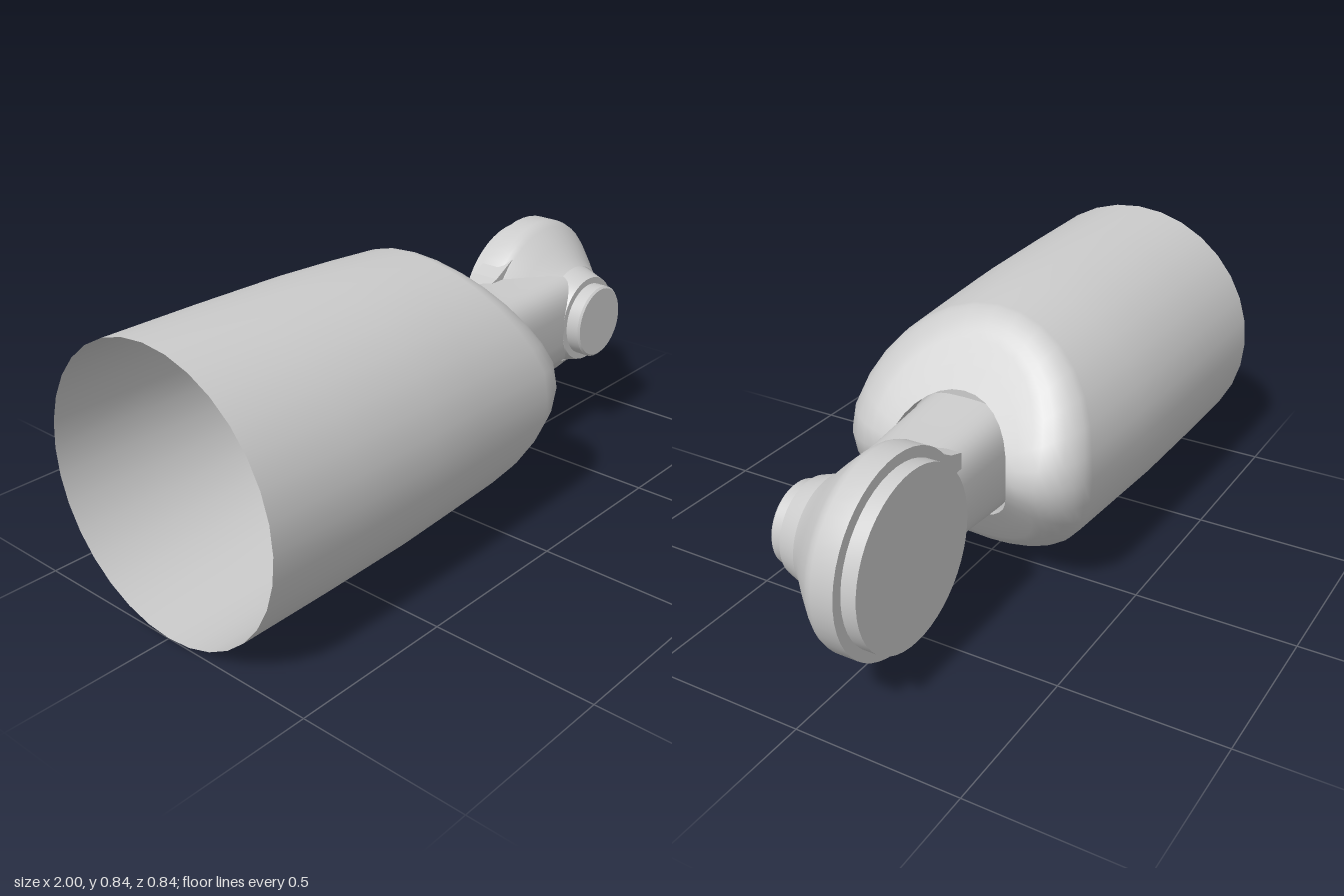
import * as THREE from 'three';
import { toCreasedNormals } from 'three/addons/utils/BufferGeometryUtils.js';

const CY = 0.424; // height of the main axis
const SEG = 32;
const HOLE = 0.2; // radius of the socket in the wedge-shaped end

const material = new THREE.MeshStandardMaterial({ color: 0xcccccc, side: THREE.DoubleSide });

function addMesh(parent, name, geometry) {
  const mesh = new THREE.Mesh(geometry, material);
  mesh.name = name;
  parent.add(mesh);
  return mesh;
}

// Skin over closed rings of [x, y, z] points, ordered along +x
function loft(rings) {
  const n = rings[0].length;
  const index = [];
  for (let i = 0; i < rings.length - 1; i++) {
    for (let j = 0; j < n; j++) {
      const a = i * n + j;
      const c = i * n + (j + 1) % n;
      index.push(a, a + n, c, c, a + n, c + n);
    }
  }
  const g = new THREE.BufferGeometry();
  g.setAttribute('position', new THREE.Float32BufferAttribute(rings.flat(2), 3));
  g.setIndex(index);
  g.computeVertexNormals();
  return g;
}

// A ring around the x axis; at(angle) returns [x, radius]
function polarRing(at) {
  return Array.from({ length: SEG }, (_, j) => {
    const t = j / SEG * Math.PI * 2;
    const [x, r] = at(t);
    return [x, CY + r * Math.sin(t), r * Math.cos(t)];
  });
}

// Turned part around the z axis, profile of [radius, z] from back to front
function turned(profile) {
  const g = new THREE.LatheGeometry(profile.map(([r, z]) => new THREE.Vector2(r, z)), 48);
  g.rotateX(Math.PI / 2);
  return toCreasedNormals(g, 0.5);
}

// Wedge end: two slanted planes meeting in a rounded ridge
const wedgeX = (r, t) => 0.32 - 0.77 * Math.hypot(r * Math.sin(t), 0.07);

function buildSleeve() {
  const sleeve = new THREE.Group();
  sleeve.name = 'sleeve';
  const rings = [[-1, 0.422], [-0.7, 0.421], [-0.4, 0.417], [-0.2, 0.408]]
    .map((p) => polarRing(() => p));

  // Rounded shoulder, wider at the sides than at top and bottom
  const edge = 0.397;
  for (let k = 0; k <= 6; k++) {
    const a = k / 6 * Math.PI / 2;
    rings.push(polarRing((t) => {
      const s = Math.abs(Math.sin(t));
      const w = 0.15 - 0.08 * s;
      const drop = 0.15 - 0.1 * s;
      const r = edge - w * (1 - Math.cos(a));
      return [wedgeX(r, t) - drop * (1 - Math.sin(a)), r];
    }));
  }
  // Slanted faces, down to the socket rim
  for (const f of [0.5, 1]) {
    rings.push(polarRing((t) => {
      const start = edge - 0.15 + 0.08 * Math.abs(Math.sin(t));
      const r = start + (HOLE - start) * f;
      return [wedgeX(r, t), r];
    }));
  }
  addMesh(sleeve, 'sleeveShell', loft(rings));

  // Socket wall and floor
  const floorX = 0.15;
  addMesh(sleeve, 'socketWall', loft([
    polarRing(() => [floorX, HOLE]),
    polarRing((t) => [wedgeX(HOLE, t), HOLE]),
  ]));
  const floor = addMesh(sleeve, 'socketFloor', new THREE.CircleGeometry(HOLE, SEG));
  floor.rotation.y = Math.PI / 2;
  floor.position.set(floorX, CY, 0);
  return sleeve;
}

function buildArm() {
  const arm = new THREE.Group();
  arm.name = 'arm';
  // Stations: x, half height, back z, front z
  const stations = [
    [0.14, 0.176, -0.155, 0.163], [0.2, 0.172, -0.155, 0.16],
    [0.32, 0.164, -0.152, 0.152], [0.45, 0.157, -0.15, 0.142],
    [0.58, 0.157, -0.145, 0.134], [0.71, 0.155, -0.14, 0.128],
  ];
  const power = (v, p) => Math.sign(v) * Math.abs(v) ** p;
  const rings = stations.map(([x, h, back, front]) => Array.from({ length: 40 }, (_, j) => {
    const t = j / 40 * Math.PI * 2;
    const c = power(Math.cos(t), 0.6);
    const s = power(Math.sin(t), 0.6);
    return [x, CY + h * s, (back + front) / 2 + (front - back) / 2 * c];
  }));
  addMesh(arm, 'armBeam', loft(rings));

  // Flared web that joins the beam to the back of the head
  const web = new THREE.Shape([
    [0.4, 0.15], [0.45, 0.165], [0.53, 0.21], [0.7, 0.22],
    [0.7, -0.22], [0.53, -0.21], [0.45, -0.165], [0.4, -0.15],
  ].map(([x, y]) => new THREE.Vector2(x, y)));
  const webMesh = addMesh(arm, 'armWeb',
    new THREE.ExtrudeGeometry(web, { depth: 0.09, bevelEnabled: false }));
  webMesh.position.set(0, CY, -0.14);
  return arm;
}

function buildHead() {
  const head = new THREE.Group();
  head.name = 'head';
  head.position.set(0.71, CY, 0);
  // Back disc
  addMesh(head, 'backDisc', turned([[0, -0.19], [0.257, -0.19], [0.257, -0.14]]));
  // Bell-shaped housing with a rounded shoulder
  addMesh(head, 'bellHousing', turned([
    [0, -0.145], [0.289, -0.145], [0.289, -0.078], [0.284, -0.062], [0.272, -0.046],
    [0.225, 0.005], [0.185, 0.045], [0.163, 0.072],
  ]));
  // Rounded arm end around the pivot
  addMesh(head, 'pivotBoss', turned([[0.164, 0.05], [0.16, 0.072], [0.14, 0.134], [0, 0.134]]));
  // Front button
  addMesh(head, 'frontButton', turned([
    [0.119, 0.12], [0.119, 0.176], [0.113, 0.182], [0, 0.182],
  ]));
  return head;
}

export function createModel() {
  const model = new THREE.Group();
  model.name = 'jointedSleeve';
  model.add(buildSleeve(), buildArm(), buildHead());
  return model;
}
